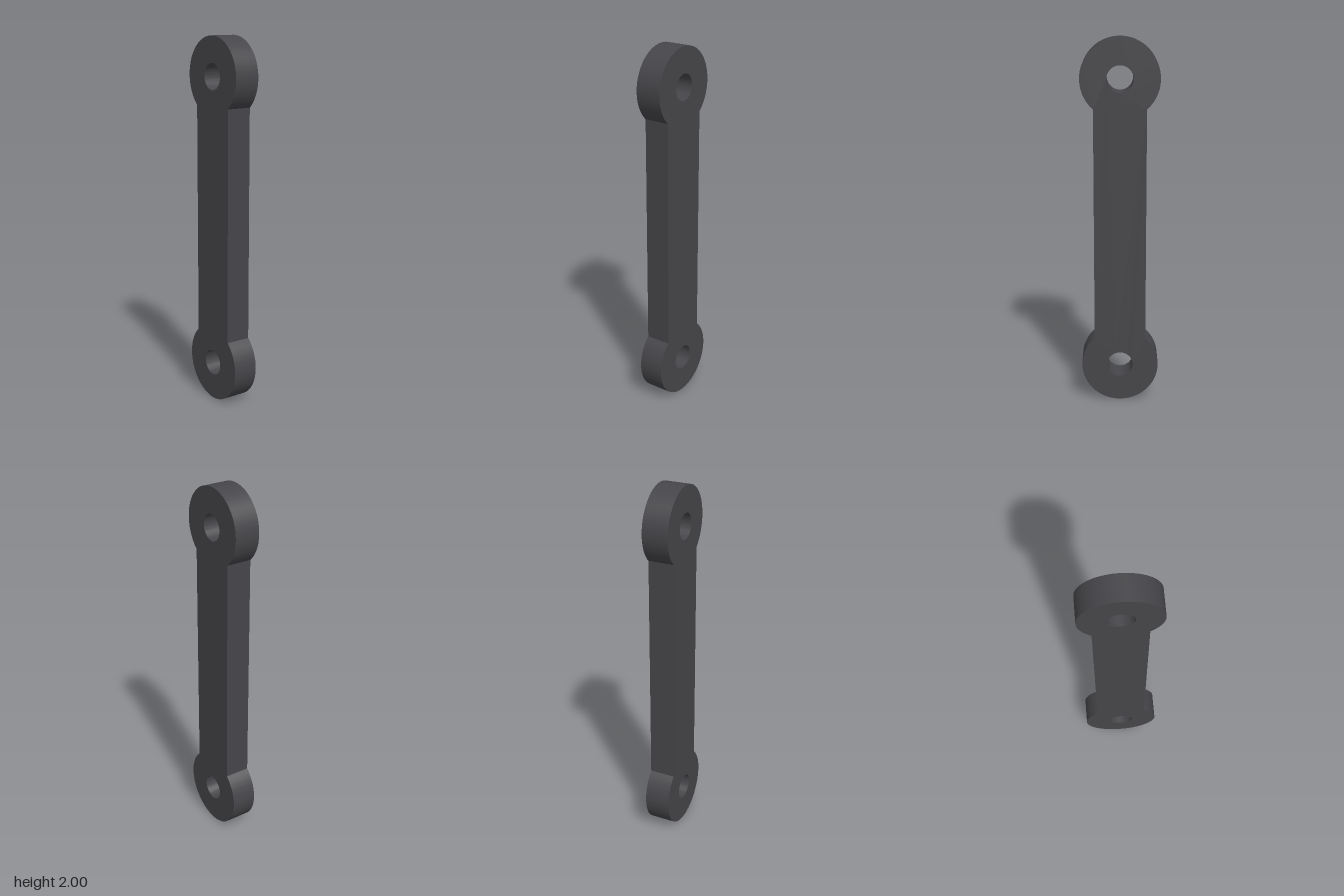
import * as THREE from 'three';
import { toCreasedNormals } from 'three/addons/utils/BufferGeometryUtils.js';

const END_RADIUS = 0.21;
const HOLE_RADIUS = 0.07;
const HALF_WIDTH = 0.14;
const DEPTH = 0.14;
const EYES = [END_RADIUS, 2 - END_RADIUS]; // heights of the two eye centres

export function createModel() {
  const darkGrey = new THREE.MeshStandardMaterial({ color: 0x464549 });
  darkGrey.name = 'darkGrey';

  // Outline: round lower eye, straight bar, round upper eye
  const a = Math.acos(HALF_WIDTH / END_RADIUS); // where the bar meets the eyes
  const outline = new THREE.Shape();
  outline.absarc(0, EYES[0], END_RADIUS, Math.PI - a, 2 * Math.PI + a, false);
  outline.absarc(0, EYES[1], END_RADIUS, -a, Math.PI + a, false);
  outline.closePath();

  // Pin hole through each eye
  for (const y of EYES) {
    const hole = new THREE.Path();
    hole.absarc(0, y, HOLE_RADIUS, 0, 2 * Math.PI, true);
    outline.holes.push(hole);
  }

  const geometry = new THREE.ExtrudeGeometry(outline, {
    depth: DEPTH, bevelEnabled: false, curveSegments: 64,
  });
  geometry.translate(0, 0, -DEPTH / 2);

  const link = new THREE.Mesh(toCreasedNormals(geometry, 0.5), darkGrey);
  link.name = 'linkBar';

  const group = new THREE.Group();
  group.name = 'link';
  group.add(link);
  return group;
}
